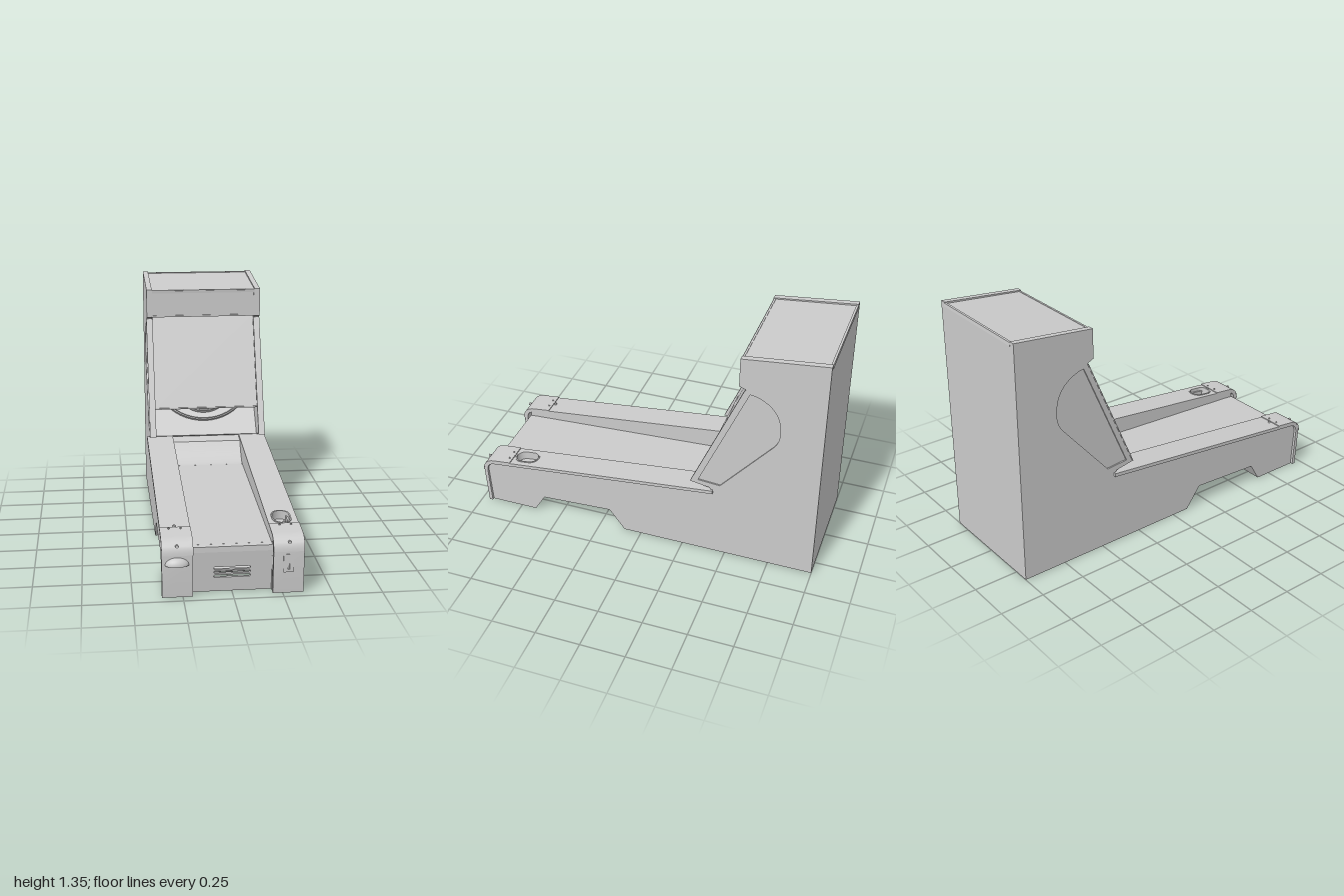
import * as THREE from 'three';
import { toCreasedNormals } from 'three/addons/utils/BufferGeometryUtils.js';

const mat = new THREE.MeshStandardMaterial({ color: 0xcccccc, side: THREE.DoubleSide });
const v2 = (p) => new THREE.Vector2(p[0], p[1]);

function add(parent, name, geometry, x = 0, y = 0, z = 0) {
  const mesh = new THREE.Mesh(geometry, mat);
  mesh.name = name;
  mesh.position.set(x, y, z);
  parent.add(mesh);
  return mesh;
}

// Extrudes a (z, y) outline across the width from x0 to x1
function across(points, x0, x1, hole) {
  const shape = new THREE.Shape(points.map(v2));
  if (hole) shape.holes.push(new THREE.Path(hole.map(v2)));
  const g = new THREE.ExtrudeGeometry(shape, { depth: x1 - x0, bevelEnabled: false });
  return toCreasedNormals(g.rotateY(-Math.PI / 2).translate(x1, 0, 0), 0.5);
}

// Slab that follows a (z, y) path; thickness goes to the right of travel
function slab(path, t, x0, x1) {
  const offset = path.map((p, i) => {
    const a = path[Math.max(i - 1, 0)], b = path[Math.min(i + 1, path.length - 1)];
    const dz = b[0] - a[0], dy = b[1] - a[1], l = Math.hypot(dz, dy);
    return [p[0] + (dy / l) * t, p[1] - (dz / l) * t];
  });
  return across([...path, ...offset.reverse()], x0, x1);
}

const bezier = (a, c, b, n = 10) =>
  new THREE.QuadraticBezierCurve(v2(a), v2(c), v2(b)).getPoints(n).map((p) => [p.x, p.y]);

// Rounded slot outline, running along its longer side
function slot(Type, cx, cy, w, h) {
  const s = new Type(), r = Math.min(w, h) / 2, dx = w / 2 - r, dy = h / 2 - r;
  if (dx > 0) {
    s.absarc(cx + dx, cy, r, -Math.PI / 2, Math.PI / 2);
    s.absarc(cx - dx, cy, r, Math.PI / 2, Math.PI * 1.5);
  } else {
    s.absarc(cx, cy + dy, r, 0, Math.PI);
    s.absarc(cx, cy - dy, r, Math.PI, Math.PI * 2);
  }
  s.closePath();
  return s;
}

function rect(x0, y0, x1, y1) {
  return new THREE.Shape([[x0, y0], [x1, y0], [x1, y1], [x0, y1]].map(v2));
}
const plate = (shape, depth) => new THREE.ExtrudeGeometry(shape, { depth, bevelEnabled: false, curveSegments: 12 });

export function createModel() {
  const model = new THREE.Group();
  model.name = 'alleyRollerCabinet';

  // Side walls, with a shallow curved recess beside the target area
  const noseIn = bezier([0.89, 0.28], [0.945, 0.275], [0.948, 0.22], 6);
  const foot = [[0.935, 0], [0.66, 0], [0.6, 0.1], [0.19, 0.12], [0.1, 0]];
  const wall = [...noseIn, ...foot, [-1, 0], [-1, 1.35], [-0.54, 1.303], [-0.54, 1.14],
    [-0.575, 1.125], [-0.29, 0.463], [-0.4, 0.445], [-0.42, 0.42]];
  const recess = [[-0.335, 0.482], [-0.6, 1.1], ...bezier([-0.63, 1.095], [-0.765, 1.05], [-0.77, 0.91]),
    ...bezier([-0.77, 0.88], [-0.765, 0.83], [-0.74, 0.8], 5), [-0.46, 0.472]];

  // Rail nose, wrapping from the top down the front
  const nose = [...bezier([0.9, 0.297], [0.965, 0.29], [0.968, 0.225]), [0.955, 0]];
  const slope = Math.atan2(0.138, 1.32), railLength = Math.hypot(0.138, 1.32);

  for (const s of [-1, 1]) {
    const side = new THREE.Group();
    side.name = s > 0 ? 'leftSide' : 'rightSide';
    model.add(side);
    const span = (a, b) => (s > 0 ? [a, b] : [-b, -a]);
    add(side, 'sideWallOuter', across(wall, ...span(0.332, 0.34), recess));
    add(side, 'sideWallInner', across(wall, ...span(0.308, 0.332)));
    add(side, 'frontEdgeTrim', slab([[-0.572, 1.122], [-0.291, 0.465]], 0.006, ...span(0.305, 0.342)));
    add(side, 'laneWall', across([[0.92, 0.29], [0.92, 0], ...foot.slice(1, 4), [0.1, 0.12], [-0.42, 0.25], [-0.42, 0.42]],
      ...span(0.2, 0.21)));

    // Sloping rail top; the left one is cut out for the cup
    const top = rect(...[span(0.2, 0.355)].flatMap(([a, b]) => [a, 0, b, railLength]));
    if (s > 0) top.holes.push(slot(THREE.Path, 0.275, 0.18, 0.09, 0.135));
    const topMesh = add(side, 'railTop', plate(top, 0.02).translate(0, 0, -0.02).rotateX(-Math.PI / 2), 0, 0.297, 0.9);
    topMesh.rotation.x = slope;
    add(side, 'railNose', slab(nose, 0.02, ...span(0.2, 0.355)));

    // Metal cap with its fixings
    add(side, 'railCap', slab([[0.8, 0.308], ...nose.slice(0, -1)], -0.005, ...span(0.199, 0.356)));
    const bolt = new THREE.CylinderGeometry(0.008, 0.008, 0.012, 12);
    add(side, 'capBolt', bolt, s * 0.28, 0.272, 0.964).rotation.x = Math.PI / 2;
    add(side, 'capTopBolt', bolt, s * 0.28, 0.312, 0.79);
    for (const dx of [-0.03, 0.03]) {
      add(side, 'capScrew', new THREE.CylinderGeometry(0.005, 0.005, 0.006, 10), s * 0.28 + dx, 0.313, 0.82);
    }
  }

  // Cup pocket in the left rail
  const cup = new THREE.Group();
  cup.name = 'cupPocket';
  cup.position.set(0, 0.297, 0.9);
  cup.rotation.x = slope;
  const rim = slot(THREE.Shape, 0.275, 0.18, 0.1, 0.145);
  rim.holes.push(slot(THREE.Path, 0.275, 0.18, 0.086, 0.131));
  add(cup, 'cupWall', plate(rim, 0.054).rotateX(-Math.PI / 2), 0, -0.05, 0);
  add(cup, 'cupFloor', plate(slot(THREE.Shape, 0.275, 0.18, 0.095, 0.14), 0.006).rotateX(-Math.PI / 2), 0, -0.05, 0);
  model.add(cup);

  // Ball hood on the right front
  const hood = new THREE.Group();
  hood.name = 'frontHood';
  hood.position.set(-0.28, 0.175, 0.962);
  hood.scale.set(0.06, 0.04, 0.038);
  add(hood, 'hoodDome', new THREE.SphereGeometry(1, 24, 10, 0, Math.PI * 2, 0, Math.PI / 2));
  add(hood, 'hoodBase', new THREE.CircleGeometry(1, 24).rotateX(Math.PI / 2));
  model.add(hood);

  // Coin plate on the left front
  const coin = rect(0.25, 0.115, 0.3, 0.21);
  coin.holes.push(slot(THREE.Path, 0.275, 0.147, 0.008, 0.035));
  add(model, 'coinPlate', plate(coin, 0.012), 0, 0, 0.957);
  add(model, 'coinLip', new THREE.BoxGeometry(0.004, 0.03, 0.018), 0.282, 0.147, 0.966);

  // Lane with its curved launch ramp
  add(model, 'lane', slab([[-0.24, 0.303], [0.895, 0.25]], 0.015, -0.2, 0.2));
  const ramp = bezier([-0.36, 0.412], [-0.285, 0.303], [-0.235, 0.303], 14);
  add(model, 'launchRamp', slab(ramp, 0.012, -0.2, 0.2));
  add(model, 'rampLip', slab([[-0.44, 0.425], [-0.36, 0.412]], 0.012, -0.31, 0.31));
  add(model, 'laneFrontLip', slab([[0.89, 0.25], [0.925, 0.247], [0.925, 0.218]], 0.02, -0.2, 0.2));

  // Slotted panel under the lane
  const vent = rect(-0.2, 0, 0.2, 0.222);
  for (const y of [0.085, 0.108, 0.13]) vent.holes.push(slot(THREE.Path, 0, y, 0.185, 0.014));
  add(model, 'ventPanel', plate(vent, 0.012), 0, 0, 0.885).rotation.x = 0.12;

  // Underside, following the foot cutout
  add(model, 'footArch', slab([[0.1, 0], [0.19, 0.12], [0.6, 0.1], [0.66, 0]], -0.012, -0.335, 0.335));
  add(model, 'cabinetBottom', new THREE.BoxGeometry(0.67, 0.012, 0.63), 0, 0.006, -0.685);

  // Tall cabinet: back, roof and header
  add(model, 'back', new THREE.BoxGeometry(0.676, 1.345, 0.012), 0, 0.6725, -0.994);
  add(model, 'roof', slab([[-1, 1.341], [-0.54, 1.296]], 0.015, -0.31, 0.31));
  const frame = rect(-0.308, 1.138, 0.308, 1.3);
  frame.holes.push(new THREE.Path([[-0.303, 1.148], [0.303, 1.148], [0.303, 1.277], [-0.303, 1.277]].map(v2)));
  add(model, 'headerFrame', plate(frame, 0.01), 0, 0, -0.553);
  add(model, 'headerPanel', new THREE.BoxGeometry(0.61, 0.15, 0.006), 0, 1.217, -0.551);
  add(model, 'headerUnderside', new THREE.BoxGeometry(0.61, 0.01, 0.06), 0, 1.143, -0.575);

  // Front screen over the targets
  add(model, 'screen', slab([[-0.592, 1.138], [-0.372, 0.616]], 0.012, -0.305, 0.305));
  add(model, 'screenBottomRail', new THREE.BoxGeometry(0.61, 0.008, 0.02), 0, 0.617, -0.378);

  // Tilted target board with raised rings
  add(model, 'targetBoard', slab([[-0.86, 0.945], [-0.42, 0.43]], -0.012, -0.31, 0.31));
  add(model, 'targetBoardBacking', slab([[-0.6, 1.13], [-0.86, 0.945]], 0.012, -0.31, 0.31));
  const targets = new THREE.Group();
  targets.name = 'targetRings';
  targets.position.set(0, 0.43, -0.42);
  targets.rotation.x = -(Math.PI / 2 - Math.atan2(0.515, 0.44));
  model.add(targets);
  const rings = [[0.295, 0.39, 0.035], [0.17, 0.32, 0.045], [0.075, 0.31, 0.05]];
  for (const [r, up, h] of rings) {
    const profile = [[r - 0.012, 0], [r - 0.012, h - 0.006], [r - 0.006, h], [r, h - 0.006], [r, 0]];
    add(targets, 'targetRing', toCreasedNormals(new THREE.LatheGeometry(profile.map(v2), 48), 0.6)
      .rotateX(Math.PI / 2), 0, up, 0);
  }
  return model;
}
